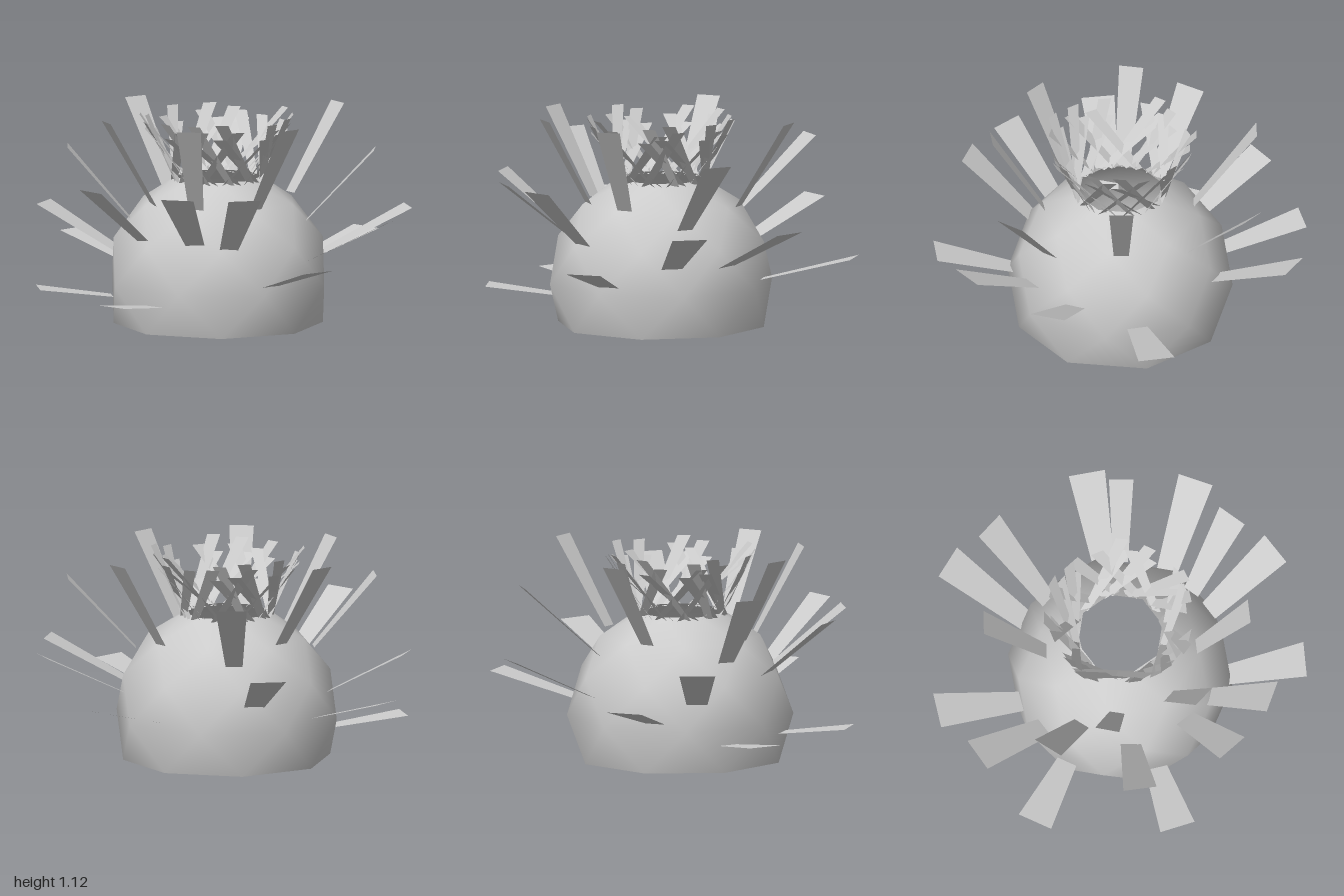
import * as THREE from 'three';

const mat = new THREE.MeshStandardMaterial({ color: 0xcccccc, side: THREE.DoubleSide });
const CX = -0.064, CZ = 0.02;

// Flat tapered blade from root to tip; its end edges run along the level direction "side".
function blade(name, root, tip, side, rootWidth, tipWidth) {
  const corner = (p, w) => p.clone().addScaledVector(side, w / 2);
  const pts = [corner(root, -rootWidth), corner(root, rootWidth), corner(tip, tipWidth), corner(tip, -tipWidth)];
  const geo = new THREE.BufferGeometry().setFromPoints(pts);
  geo.setIndex([0, 1, 2, 0, 2, 3]);
  geo.computeVertexNormals();
  const mesh = new THREE.Mesh(geo, mat);
  mesh.name = name;
  return mesh;
}

// Open low-poly sphere, cut at top and bottom: rings of eight points, every other ring turned half a step
function makeBody() {
  const R = 0.6, N = 8, RINGS = 5, step = Math.PI / 8;
  const points = [], index = [];
  for (let i = 0; i < RINGS; i++) {
    const elevation = (i - 1) * step;
    const r = R * Math.cos(elevation), y = R * (Math.sin(elevation) + Math.sin(step));
    for (let j = 0; j < N; j++) {
      const a = (2 * j + i % 2) * step;
      points.push(new THREE.Vector3(r * Math.sin(a), y, r * Math.cos(a)));
    }
  }
  for (let i = 0; i < RINGS - 1; i++) {
    for (let j = 0; j < N; j++) {
      const k = (j + 1) % N;
      const a0 = i * N + j, a1 = i * N + k, b0 = a0 + N, b1 = a1 + N;
      if (i % 2 === 0) index.push(a0, a1, b0, b0, a1, b1);
      else index.push(a0, a1, b1, a0, b1, b0);
    }
  }
  const geo = new THREE.BufferGeometry().setFromPoints(points);
  geo.setIndex(index);
  geo.computeVertexNormals();
  const body = new THREE.Mesh(geo, mat);
  body.name = 'body';
  body.position.set(CX, 0, CZ);
  return body;
}

// Large leaves by level: heights, end widths, then root x, z and tip x, z of each leaf
const LEVELS = [
  { rootY: 0.15, tipY: 0.2, w: [0.11, 0.19], leaves: [
    [-0.47, -0.37, -0.775, -0.62], [-0.57, 0.075, -0.985, 0.105]] },
  { rootY: 0.26, tipY: 0.4, w: [0.105, 0.195], leaves: [
    [-0.125, -0.5, -0.113, -0.99], [-0.235, 0.53, -0.3, 0.97], [0.46, 0.07, 0.995, 0.1]] },
  { rootY: 0.37, tipY: 0.6, w: [0.11, 0.19], leaves: [
    [-0.33, -0.455, -0.478, -0.86], [0.09, 0.53, 0.272, 0.95],
    [0.355, 0.375, 0.75, 0.633], [0.275, -0.41, 0.615, -0.752]] },
  { rootY: 0.46, tipY: 0.79, w: [0.1, 0.178], leaves: [
    [-0.54, -0.045, -0.937, -0.087], [-0.47, 0.245, -0.83, 0.442], [-0.4, 0.41, -0.6, 0.717]] },
  { rootY: 0.575, tipY: 0.96, w: [0.09, 0.165], leaves: [
    [-0.43, -0.28, -0.655, -0.52], [0.15, 0.46, 0.38, 0.74], [0.285, -0.285, 0.633, -0.522]] },
  { rootY: 0.66, tipY: 1.12, w: [0.08, 0.13], leaves: [
    [-0.445, -0.09, -0.69, -0.205], [-0.42, 0.195, -0.63, 0.338], [-0.185, 0.405, -0.22, 0.685],
    [0.375, 0.13, 0.662, 0.205], [-0.02, -0.37, 0.055, -0.695]] },
];

function makeLeaves() {
  const group = new THREE.Group();
  group.name = 'leaves';
  for (const { rootY, tipY, w, leaves } of LEVELS) {
    for (const [rx, rz, tx, tz] of leaves) {
      const side = new THREE.Vector3(rz - tz, 0, tx - rx).normalize();
      group.add(blade('leaf', new THREE.Vector3(rx, rootY, rz), new THREE.Vector3(tx, tipY, tz), side, w[0], w[1]));
    }
  }
  return group;
}

// Crown of narrow crossing blades that flare out around the opening
function makeCrown() {
  const group = new THREE.Group();
  group.name = 'crown';
  const rings = [
    { tipY: 1.11, tipR: 0.4, lean: 0.65 },
    { tipY: 1.07, tipR: 0.38, lean: -0.75 },
    { tipY: 1.03, tipR: 0.37, lean: 0.9 },
  ];
  const count = 12;
  const at = (r, a, y) => new THREE.Vector3(CX + r * Math.cos(a), y, CZ + r * Math.sin(a));
  rings.forEach(({ tipY, tipR, lean }, ring) => {
    for (let i = 0; i < count; i++) {
      const a = (i + ring / 3) * 2 * Math.PI / count;
      // uneven heights and lean keep the tuft from looking woven
      const vary = Math.sin(i * 2.4 + ring);
      const turn = lean + 0.15 * vary;
      const twist = a + turn * 1.1;
      const side = new THREE.Vector3(-Math.sin(twist), 0, Math.cos(twist));
      const tip = at(tipR + 0.015 * vary, a + turn, tipY + 0.012 * vary);
      group.add(blade('crownBlade', at(0.235, a, 0.77), tip, side, 0.04, 0.07));
    }
  });
  return group;
}

export function createModel() {
  const model = new THREE.Group();
  model.name = 'spikyPlant';
  model.add(makeBody(), makeLeaves(), makeCrown());
  return model;
}
